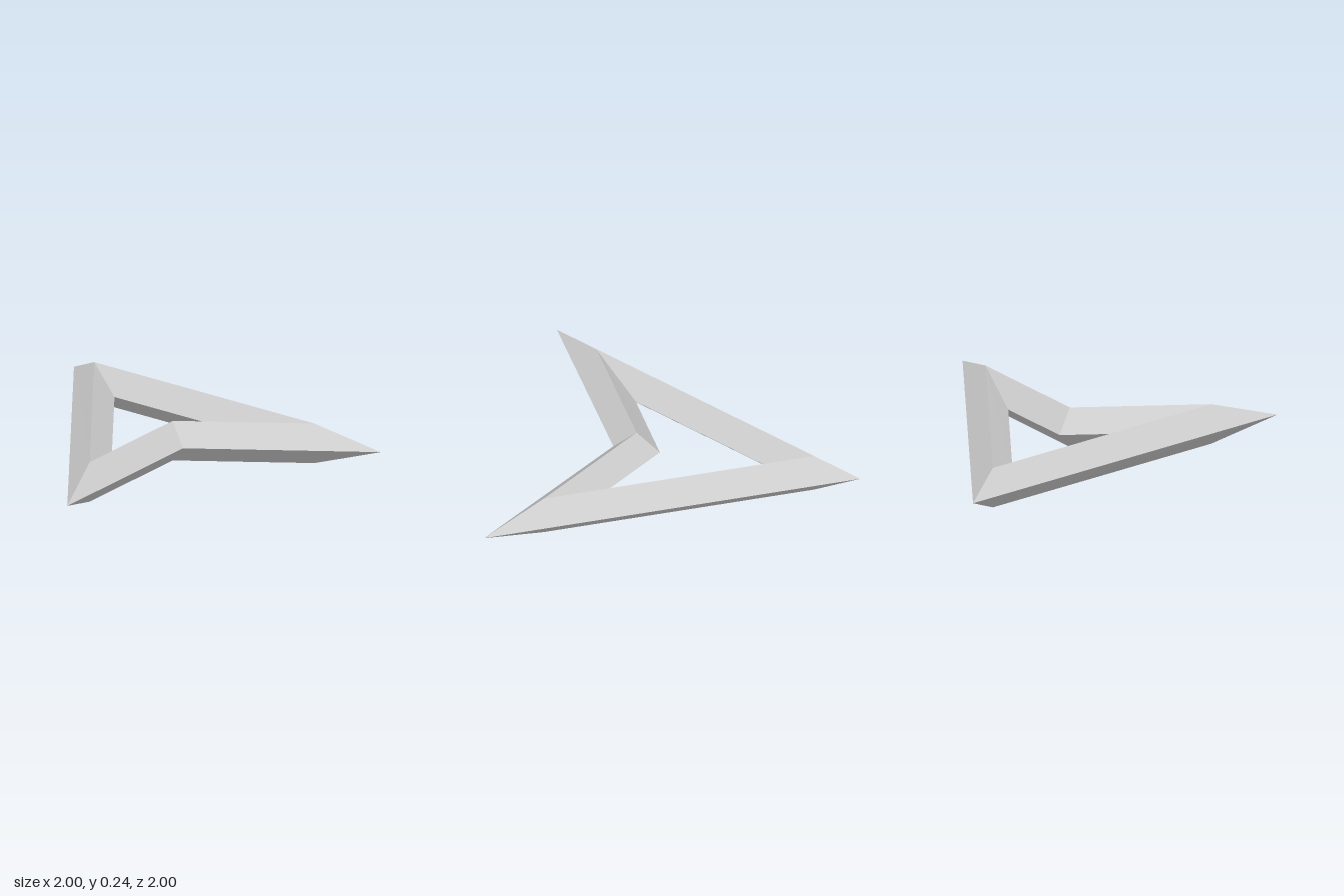
import * as THREE from 'three';

// Corner [x, z] loops, clockwise from above: back tip, left tip, front notch, right tip
const outer = [[0, -1], [1, 1], [0, 0.453], [-1, 1]];
const ridge = [[0, -0.73], [0.717, 0.707], [0, 0.316], [-0.717, 0.707]];
const inner = [[0, -0.46], [0.437, 0.415], [0, 0.179], [-0.437, 0.415]];
const height = 0.244;

// Diamond cross-section swept round the closed arrowhead outline with mitred corners
function frameGeometry() {
  const at = (loop, y) => loop.map(([x, z]) => [x, y, z]);
  const rings = [at(outer, height / 2), at(ridge, height), at(inner, height / 2), at(ridge, 0)];
  const positions = [];
  for (let r = 0; r < 4; r++) {
    const from = rings[r], to = rings[(r + 1) % 4];
    for (let i = 0; i < 4; i++) {
      const j = (i + 1) % 4;
      positions.push(...from[i], ...to[i], ...from[j], ...to[i], ...to[j], ...from[j]);
    }
  }
  const geometry = new THREE.BufferGeometry();
  geometry.setAttribute('position', new THREE.Float32BufferAttribute(positions, 3));
  geometry.computeVertexNormals(); // unshared corners keep every facet flat
  return geometry;
}

export function createModel() {
  const group = new THREE.Group();
  group.name = 'arrowhead';
  const lightGrey = new THREE.MeshStandardMaterial({ color: 0xcccccc });
  lightGrey.name = 'lightGrey';
  const frame = new THREE.Mesh(frameGeometry(), lightGrey);
  frame.name = 'arrowheadFrame';
  group.add(frame);
  return group;
}
